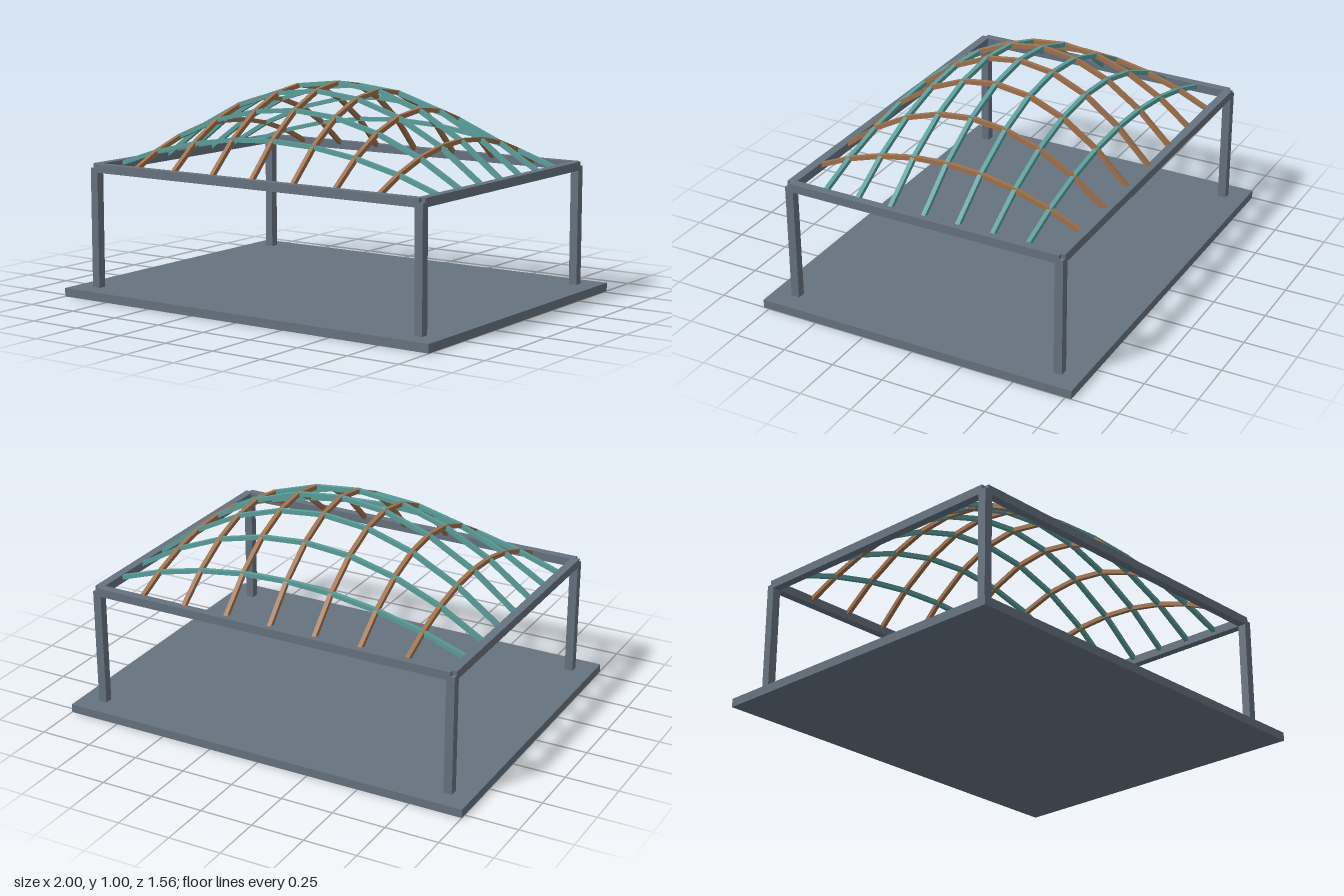
import * as THREE from 'three';

const slate = new THREE.MeshStandardMaterial({ color: 0x66727f });
slate.name = 'slate';
const teal = new THREE.MeshStandardMaterial({ color: 0x5a9e9b });
teal.name = 'teal';
const wood = new THREE.MeshStandardMaterial({ color: 0xa0724c });
wood.name = 'wood';

const HX = 0.889, HZ = 0.667; // half spans between post centres
const RIM = 0.6, RISE = 0.39, BAR = 0.04, RIB = 0.02, STEPS = 8;

function box(parent, name, material, size, position) {
  const mesh = new THREE.Mesh(new THREE.BoxGeometry(...size), material);
  mesh.name = name;
  mesh.position.set(...position);
  parent.add(mesh);
  return mesh;
}

// Point on the double-curved roof, u and v from -1 to 1
function roofPoint(u, v) {
  return new THREE.Vector3(u * HX, RIM + RISE * (1 - u * u) * (1 - v * v), v * HZ);
}

// One arched rib made of straight square bars
function makeRib(name, material, pointAt) {
  const rib = new THREE.Group();
  rib.name = name;
  for (let i = 0; i < STEPS; i++) {
    const a = pointAt(-1 + (2 * i) / STEPS);
    const b = pointAt(-1 + (2 * (i + 1)) / STEPS);
    const mid = a.clone().add(b).multiplyScalar(0.5);
    const bar = box(rib, 'ribBar', material, [RIB, RIB, a.distanceTo(b) + 0.002], mid.toArray());
    bar.lookAt(b);
  }
  return rib;
}

export function createModel() {
  const model = new THREE.Group();
  model.name = 'gridshellPavilion';

  // Floor slab
  box(model, 'floorSlab', slate, [2, 0.04, 1.556], [0, 0.02, 0]);

  // Corner posts and the rim beams meeting over their centres
  for (const s of [-1, 1]) {
    for (const t of [-1, 1]) {
      box(model, 'cornerPost', slate, [BAR, RIM - 0.04, BAR], [s * HX, (RIM + 0.04) / 2, t * HZ]);
    }
    box(model, 'longBeam', slate, [HX * 2, BAR, BAR], [0, RIM, s * HZ]);
    box(model, 'shortBeam', slate, [BAR, BAR, HZ * 2], [s * HX, RIM, 0]);
  }

  // Crossing roof ribs
  for (let k = 1; k < STEPS; k++) {
    const w = -1 + (2 * k) / STEPS;
    model.add(makeRib('lengthwiseRib', teal, (t) => roofPoint(t, w)));
    model.add(makeRib('crosswiseRib', wood, (t) => roofPoint(w, t)));
  }
  return model;
}
